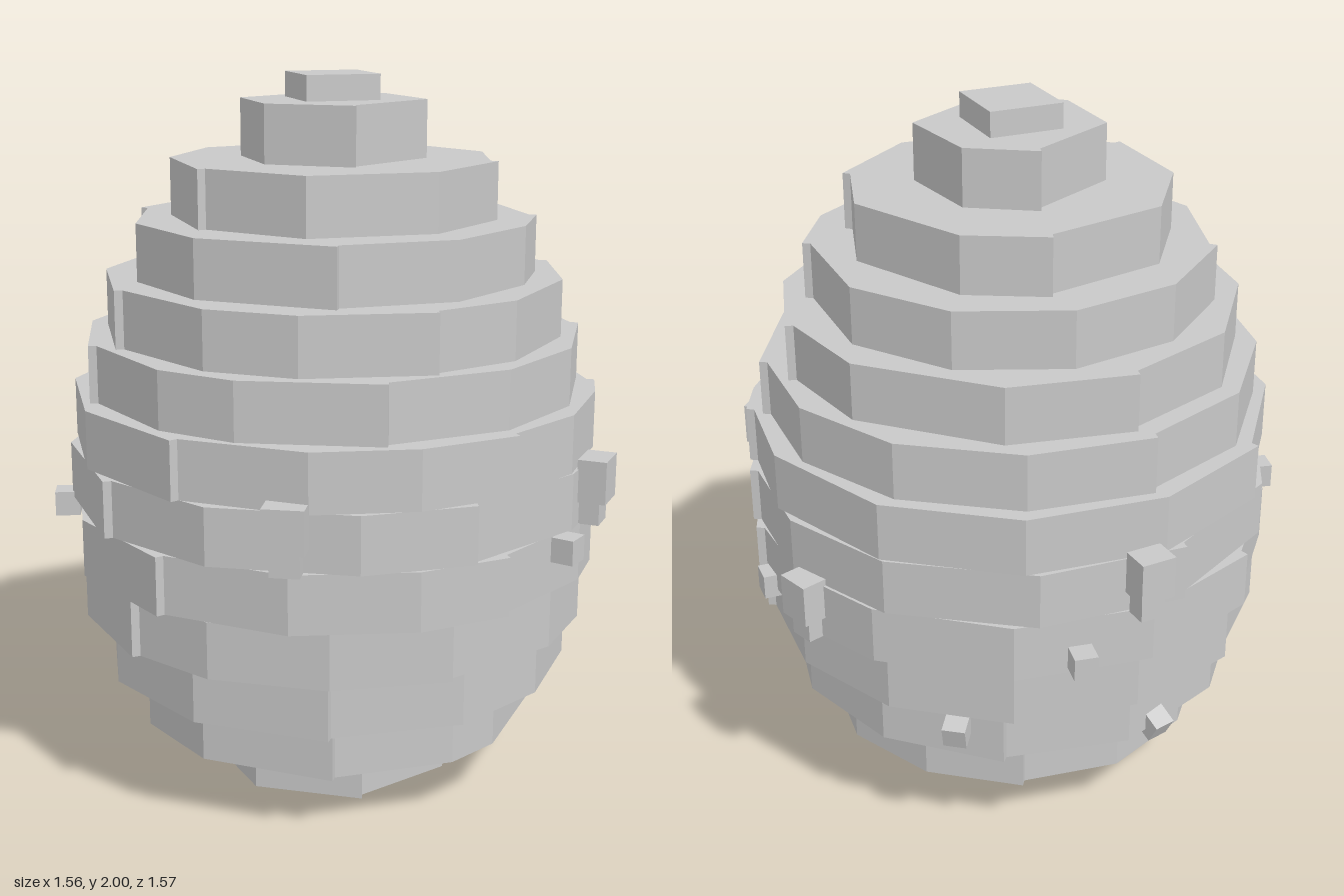
import * as THREE from 'three';

const stone = new THREE.MeshStandardMaterial({ color: 0xc8c8c8 });
stone.name = 'pale grey stone';
const CX = 0.004, CZ = 0.035;

// Courses from bottom to top: top height, radius, corner angles in degrees (0 = +x, 90 = +z).
// Gaps after the last angle are filled with evenly spaced corners.
const courses = [
  [0.165, 0.36, [-9, 43, 94, 145, 197, 248, 300]],
  [0.327, 0.57, [-41, -13, 20, 55, 72, 107, 146]],
  [0.49, 0.67, [-34, -6, 22, 50, 76, 108, 141]],
  [0.648, 0.725, [-39, -13, 13, 33, 53, 82, 108, 134, 154]],
  [0.81, 0.75, [-37, -17, 6, 30, 43, 70, 90, 116, 144]],
  [0.968, 0.75, [-40, -14, 10, 36, 48, 78, 102, 133, 160]],
  [1.13, 0.745, [-39, -8, 15, 26, 48, 68, 90, 112, 140]],
  [1.29, 0.70, [-41, -14, 12, 41, 67, 96, 128, 147]],
  [1.45, 0.645, [-65, -27, 0, 29, 60, 83, 115, 138]],
  [1.61, 0.56, [-51, -19, 17, 40, 72, 106, 147]],
  [1.77, 0.452, [-50, -2, 30, 70, 116, 157, 197, 233, 280]],
  [1.93, 0.26, [-38, 22, 94, 152, 206, 276]],
];

function closeRing(angles) {
  const last = angles[angles.length - 1];
  const gap = angles[0] + 360 - last;
  const count = gap > 75 ? Math.round(gap / 30) : 1;
  const ring = [...angles];
  for (let i = 1; i < count; i++) ring.push(last + (gap * i) / count);
  return ring;
}

// Faceted slab with a small step at every third corner, where bricks overlap
function courseGeometry(radius, angles, height) {
  const points = [];
  const add = (deg, r) => {
    const a = THREE.MathUtils.degToRad(deg);
    points.push(new THREE.Vector2(CX + r * Math.cos(a), -(CZ + r * Math.sin(a))));
  };
  closeRing(angles).forEach((deg, i) => {
    if (i % 3 === 2) {
      add(deg - 0.3, radius - 0.012);
      add(deg + 0.3, radius + 0.01);
    } else add(deg, radius);
  });
  const geometry = new THREE.ExtrudeGeometry(new THREE.Shape(points), { depth: height, bevelEnabled: false });
  return geometry.rotateX(-Math.PI / 2);
}

function block(name, w, h, d, x, y, z) {
  const mesh = new THREE.Mesh(new THREE.BoxGeometry(w, h, d), stone);
  mesh.name = name;
  mesh.position.set(x, y, z);
  return mesh;
}

// Protruding knob turned outward; the large ones have a narrower foot
function knob(x, y, z, size, large, tilt = 0) {
  const group = new THREE.Group();
  group.name = large ? 'largeKnob' : 'smallKnob';
  group.position.set(x, y, z);
  group.rotation.order = 'YXZ';
  group.rotation.y = Math.atan2(x - CX, z - CZ);
  group.rotation.x = tilt;
  group.add(block('knobBlock', size, large ? 0.12 : size, large ? 0.08 : size, 0, 0, 0));
  if (large) group.add(block('knobFoot', size * 0.72, 0.07, 0.06, 0, -0.09, -0.01));
  return group;
}

export function createModel() {
  const model = new THREE.Group();
  model.name = 'steppedEgg';

  let y = 0;
  courses.forEach(([top, radius, angles], i) => {
    const mesh = new THREE.Mesh(courseGeometry(radius, angles, top - y), stone);
    mesh.name = `course${i + 1}`;
    mesh.position.y = y;
    model.add(mesh);
    y = top;
  });
  model.add(block('capstone', 0.21, 0.07, 0.21, 0.005, 1.965, 0.025));

  model.add(
    knob(-0.33, 0.935, 0.71, 0.11, true),
    knob(0.60, 0.935, 0.54, 0.11, true),
    knob(0.725, 0.77, -0.22, 0.1, true),
    knob(-0.05, 0.935, -0.74, 0.1, true),
    knob(0.48, 0.77, 0.62, 0.07, false),
    knob(0.735, 0.66, 0.065, 0.07, false),
    knob(-0.74, 0.79, -0.14, 0.07, false),
    knob(0.13, 0.70, -0.72, 0.065, false),
    knob(0.41, 0.43, -0.52, 0.065, false, 0.25),
    knob(-0.16, 0.34, -0.60, 0.065, false, 0.5),
  );
  return model;
}
